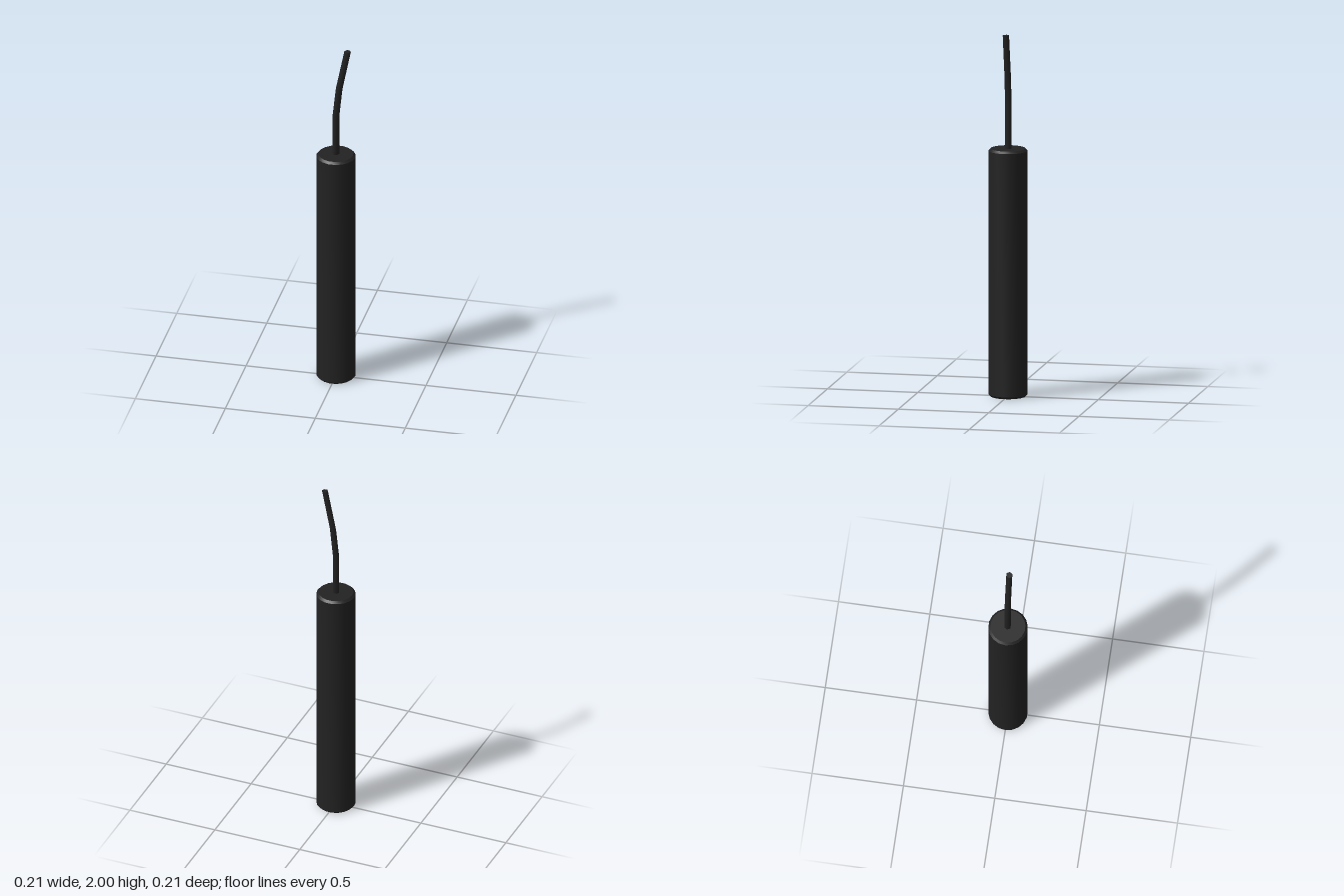
import * as THREE from 'three';
import { toCreasedNormals } from 'three/addons/utils/BufferGeometryUtils.js';

const material = new THREE.MeshStandardMaterial({ color: 0x222222 });

// Eighteen-sided stick with a narrow bevel at both ends
function createBody() {
  const r = 0.107, h = 1.365, bevel = 0.012;
  const profile = [
    [0, 0], [r - bevel, 0], [r, bevel], [r, h - bevel], [r - bevel, h], [0, h],
  ].map(([x, y]) => new THREE.Vector2(x, y));
  const geometry = new THREE.LatheGeometry(profile, 18, Math.PI / 2);
  const mesh = new THREE.Mesh(toCreasedNormals(geometry, 0.6), material);
  mesh.name = 'body';
  return mesh;
}

// Six-sided cord whose level rings follow a gentle bend towards +x
function createCord() {
  const stations = [[-0.001, 1.35], [-0.001, 1.595], [0.017, 1.765], [0.064, 2]];
  const spans = stations.length - 1;
  const geometry = new THREE.CylinderGeometry(0.018, 0.019, spans, 6, spans, false, Math.PI / 2);
  const position = geometry.attributes.position;
  for (let i = 0; i < position.count; i++) {
    const [x, y] = stations[Math.round(position.getY(i) + spans / 2)];
    position.setX(i, position.getX(i) + x);
    position.setY(i, y);
    position.setZ(i, position.getZ(i) - 0.002);
  }
  const mesh = new THREE.Mesh(toCreasedNormals(geometry, 1.1), material);
  mesh.name = 'cord';
  return mesh;
}

export function createModel() {
  const model = new THREE.Group();
  model.name = 'stickWithCord';
  model.add(createBody(), createCord());
  return model;
}
